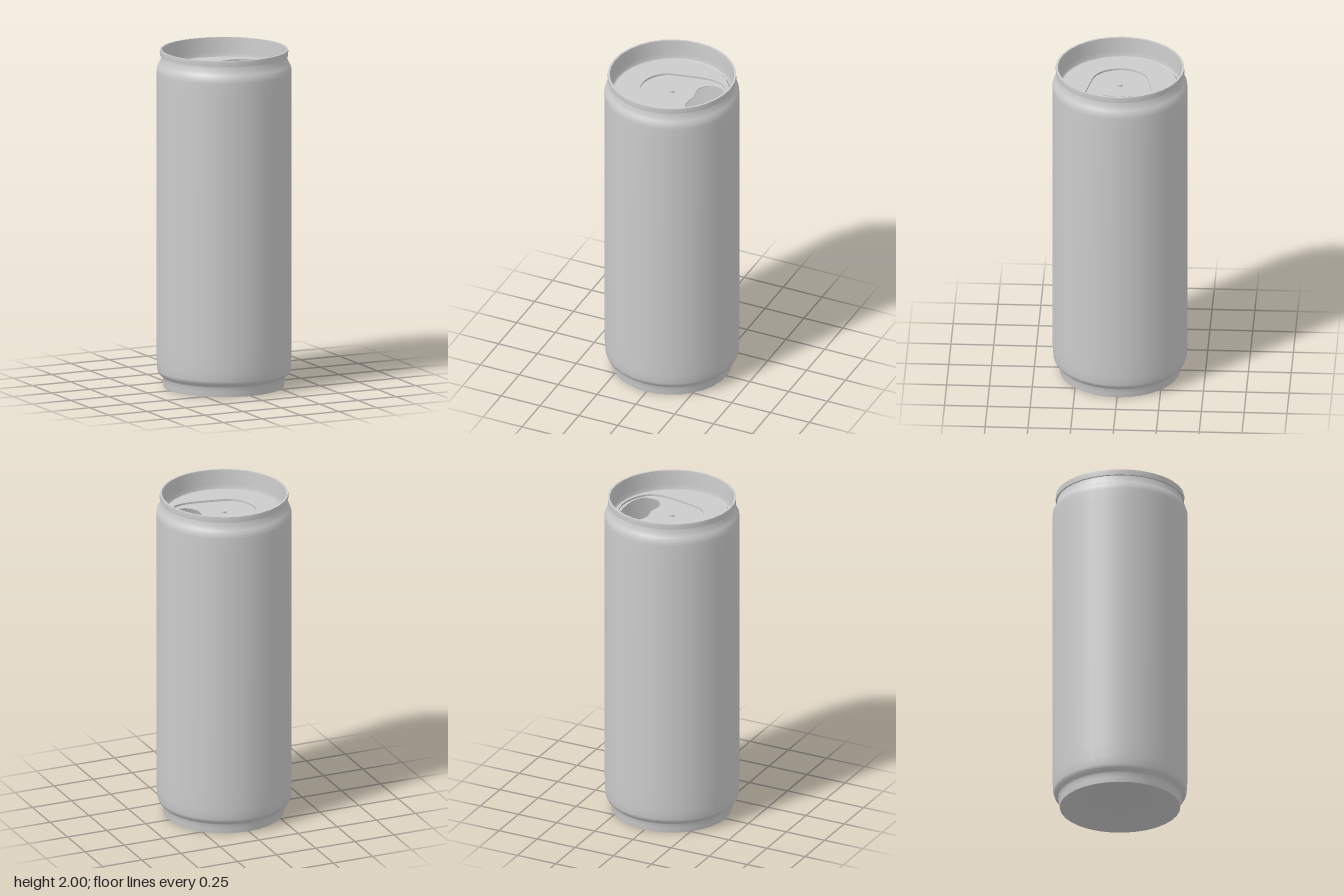
import * as THREE from 'three';

const SIDES = 32;
const LID_Y = 1.89;
const STEP = 0.012;

const material = new THREE.MeshStandardMaterial({ color: 0xcccccc, side: THREE.DoubleSide });

const vec = ([x, y]) => new THREE.Vector2(x, y);

// Closed smooth outline from its upper half; the lower half is mirrored.
function mirroredOutline(half, count) {
  const lower = half.slice(1, -1).reverse().map(([x, y]) => [x, -y]);
  const points = [...half, ...lower].map(([x, y]) => new THREE.Vector3(x, y, 0));
  return new THREE.CatmullRomCurve3(points, true)
    .getPoints(count).slice(0, -1).map((p) => new THREE.Vector2(p.x, p.y));
}

// Horizontal plate with an opening, its underside at height y.
function plate(outline, opening, y, depth) {
  const shape = new THREE.Shape(outline);
  shape.holes.push(new THREE.Path(opening));
  return new THREE.ExtrudeGeometry(shape, { depth, bevelEnabled: false })
    .rotateX(-Math.PI / 2).translate(0, y, 0);
}

export function createModel() {
  const can = new THREE.Group();
  can.name = 'drinkCan';

  function add(name, geometry) {
    const mesh = new THREE.Mesh(geometry, material);
    mesh.name = name;
    can.add(mesh);
  }
  const turn = (name, profile) => add(name, new THREE.LatheGeometry(profile.map(vec), SIDES));

  // Side wall with the stepped foot and the narrowed neck
  turn('body', [
    [0.352, 0], [0.356, 0.03], [0.358, 0.055], [0.366, 0.066], [0.383, 0.08],
    [0.39, 0.1], [0.393, 0.15], [0.395, 0.25], [0.395, 1.8], [0.395, 1.87],
    [0.392, 1.895], [0.382, 1.915], [0.371, 1.935], [0.367, 1.965],
  ]);

  // Domed base, hollow from below
  const dome = [];
  for (let i = 0; i <= 10; i++) {
    const t = i / 10;
    dome.push([0.352 * t, 0.1 * (1 - t * t)]);
  }
  turn('baseDome', dome);

  // Seamed rim: underside, outer band and top
  turn('rimUnderside', [[0.367, 1.965], [0.375, 1.966]]);
  turn('rimBand', [[0.375, 1.966], [0.376, 1.985], [0.375, 2]]);
  turn('rimTop', [[0.375, 2], [0.363, 2]]);

  // Inner wall running down into the groove around the lid
  turn('lidGroove', [
    [0.363, 2], [0.36, 1.96], [0.358, 1.91], [0.355, 1.885], [0.35, 1.874],
    [0.345, 1.874], [0.34, 1.883], [0.334, LID_Y],
  ]);

  // Lid with a shallow teardrop recess and a drinking opening
  const rimCircle = Array.from({ length: SIDES }, (_, i) => {
    const a = (i / SIDES) * Math.PI * 2;
    return new THREE.Vector2(Math.cos(a) * 0.334, Math.sin(a) * 0.334);
  });
  const recess = mirroredOutline([
    [-0.19, 0], [-0.18, 0.055], [-0.15, 0.11], [-0.1, 0.15], [-0.03, 0.17], [0.06, 0.188],
    [0.14, 0.2], [0.19, 0.197], [0.24, 0.18], [0.28, 0.14], [0.31, 0.07], [0.32, 0],
  ], 66);
  const mouth = mirroredOutline([
    [0.137, 0], [0.125, 0.07], [0.136, 0.115], [0.17, 0.15], [0.21, 0.158],
    [0.255, 0.148], [0.285, 0.105], [0.299, 0.05], [0.302, 0],
  ], 48);
  add('lid', plate(rimCircle, recess, LID_Y - STEP, STEP));
  add('lidRecess', plate(recess, mouth, LID_Y - STEP - 0.004, 0.004));

  // Rivet at the centre of the lid
  add('rivet', new THREE.CylinderGeometry(0.015, 0.015, 0.01, 16).translate(0, LID_Y - STEP + 0.005, 0));

  return can;
}
